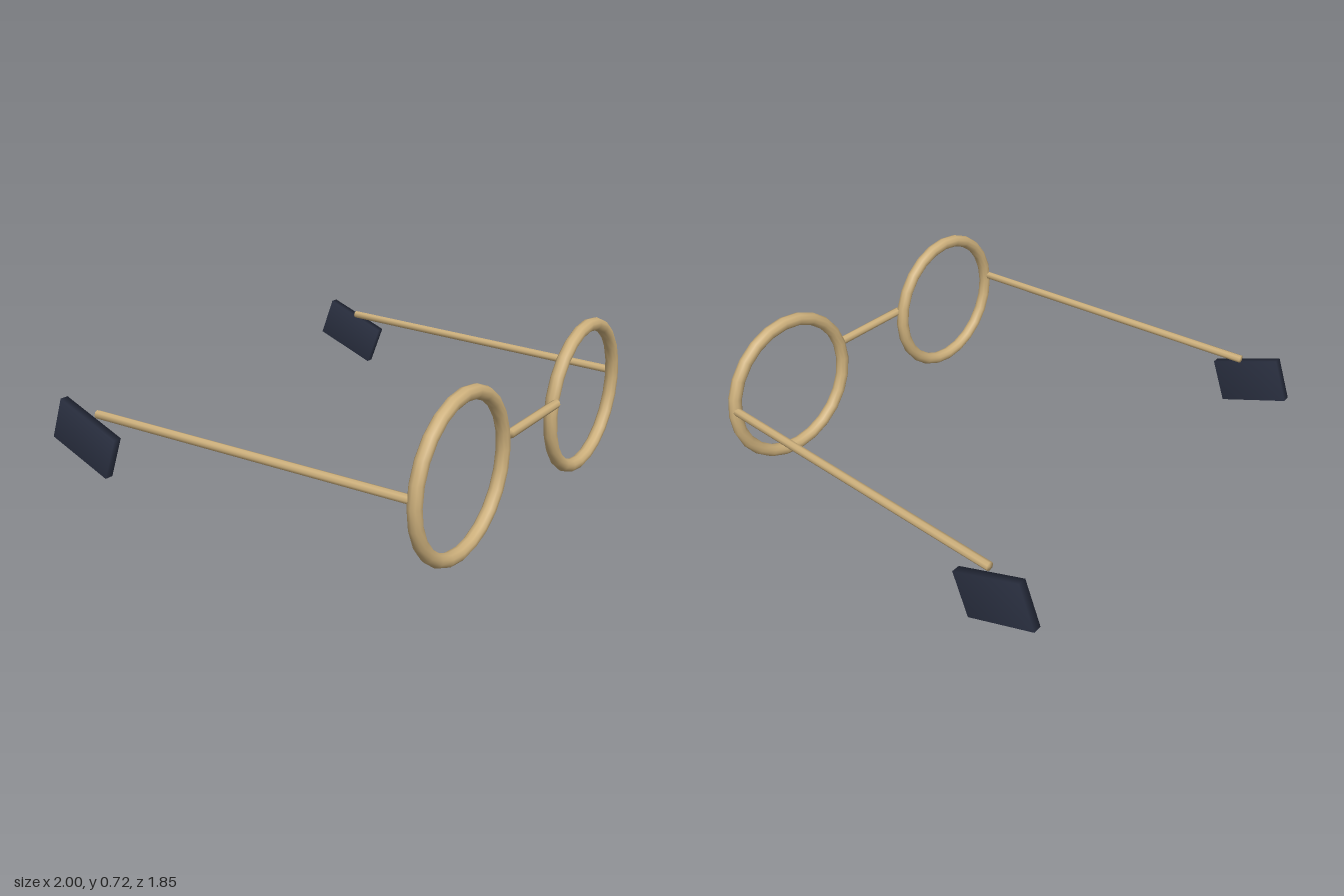
import * as THREE from 'three';
import { mergeVertices } from 'three/addons/utils/BufferGeometryUtils.js';

// Share corner vertices so shading runs smoothly over the edges
function weld(geometry) {
  geometry.deleteAttribute('normal');
  geometry.deleteAttribute('uv');
  const welded = mergeVertices(geometry, 1e-4);
  welded.computeVertexNormals();
  return welded;
}

// Straight round bar between two points
function bar(name, from, to, radius, material) {
  const a = new THREE.Vector3(...from), b = new THREE.Vector3(...to);
  const dir = b.clone().sub(a);
  const mesh = new THREE.Mesh(weld(new THREE.CylinderGeometry(radius, radius, dir.length(), 8)), material);
  mesh.name = name;
  mesh.position.copy(a).add(b).multiplyScalar(0.5);
  mesh.quaternion.setFromUnitVectors(new THREE.Vector3(0, 1, 0), dir.normalize());
  return mesh;
}

export function createModel() {
  const gold = new THREE.MeshStandardMaterial({ name: 'gold', color: 0xcdb07c });
  const navy = new THREE.MeshStandardMaterial({ name: 'navy', color: 0x2e3446 });

  const glasses = new THREE.Group();
  glasses.name = 'glasses';

  const rimGeometry = new THREE.TorusGeometry(0.33, 0.03, 10, 24);
  const tipGeometry = weld(new THREE.BoxGeometry(0.038, 0.207, 0.342));

  for (const [side, s] of [['left', 1], ['right', -1]]) {
    // Round open rim
    const rim = new THREE.Mesh(rimGeometry, gold);
    rim.name = side + 'Rim';
    rim.position.set(0.545 * s, 0.365, 0.88);
    glasses.add(rim);

    // Temple arm, spreading outwards to the back
    glasses.add(bar(side + 'Temple', [0.877 * s, 0.394, 0.87], [0.952 * s, 0.394, -0.677], 0.019, gold));

    // Tilted ear tip
    const tip = new THREE.Mesh(tipGeometry, navy);
    tip.name = side + 'EarTip';
    tip.position.set(0.981 * s, 0.285, -0.728);
    tip.rotation.x = 0.36;
    glasses.add(tip);
  }

  // Bridge across the front of the rims
  glasses.add(bar('bridge', [-0.21, 0.433, 0.905], [0.21, 0.433, 0.905], 0.02, gold));

  return glasses;
}
